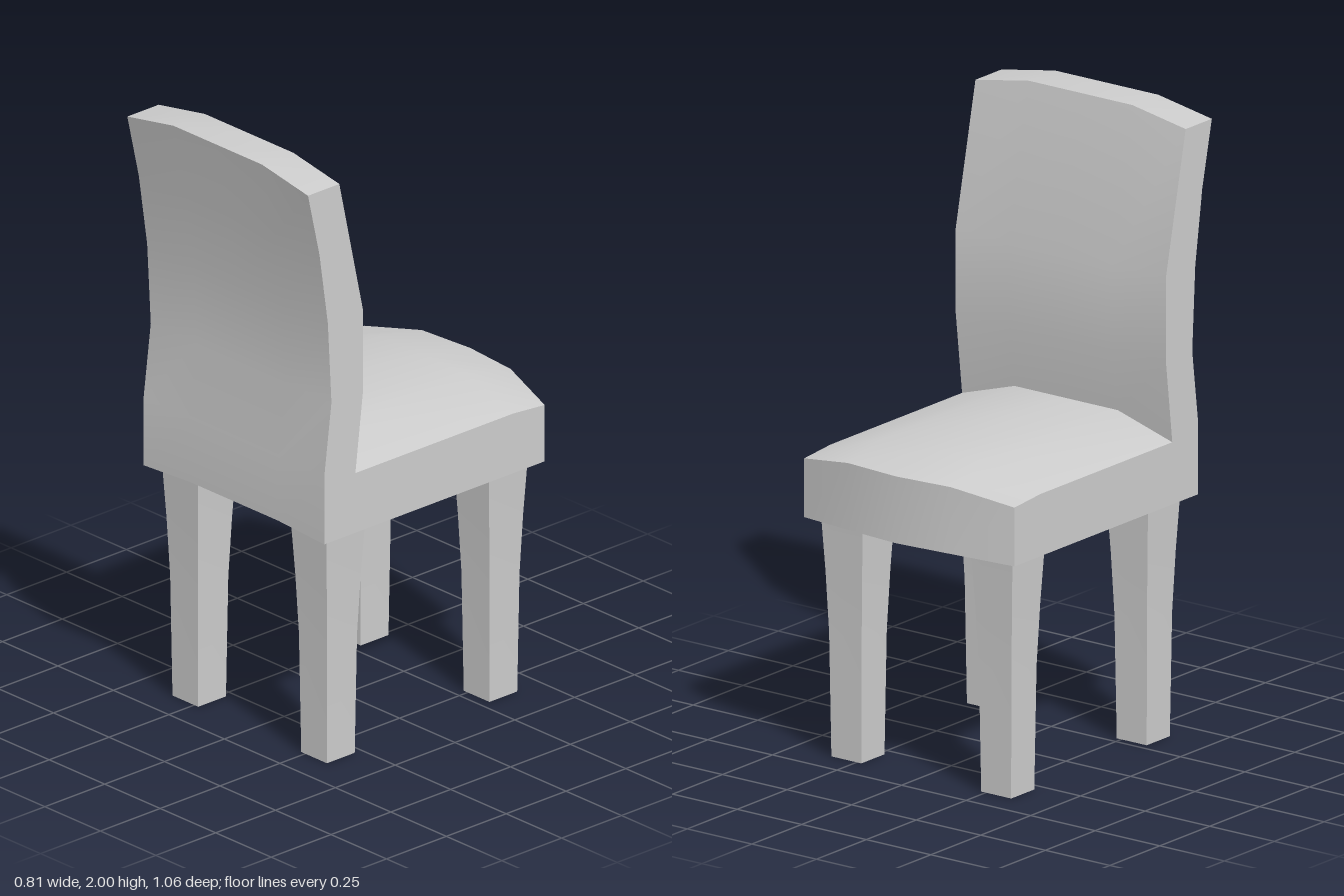
import * as THREE from 'three';
import { toCreasedNormals } from 'three/addons/utils/BufferGeometryUtils.js';

const material = new THREE.MeshStandardMaterial({ color: 0xcccccc });

// Skins a row of equal-length closed rings; caps are the triangles closing the first ring.
function loft(rings, caps) {
  const n = rings[0].length;
  const index = [];
  for (let i = 0; i < rings.length - 1; i++) {
    for (let j = 0; j < n; j++) {
      const k = (j + 1) % n;
      const a = i * n + j, b = a + n, c = (i + 1) * n + k, d = i * n + k;
      index.push(a, b, c, a, c, d);
    }
  }
  const last = (rings.length - 1) * n;
  for (const [a, b, c] of caps) {
    index.push(a, b, c, last + a, last + c, last + b);
  }
  const geometry = new THREE.BufferGeometry();
  geometry.setAttribute('position', new THREE.Float32BufferAttribute(rings.flat(2), 3));
  geometry.setIndex(index);
  return toCreasedNormals(geometry, 0.6);
}

// Seat and backrest share one L-shaped side profile, crowned towards the middle.
function createUpholstery() {
  const columns = [-0.407, -0.2, 0, 0.2, 0.407];
  const profile = (x) => {
    const side = Math.abs(x) > 0.3;
    const front = side ? -0.461 : x === 0 ? -0.528 : -0.511;
    const bottom = side ? 0.773 : 0.785;
    const seat = side ? 0.973 : 1.037;
    const top = side ? 1.963 : 2;
    return [
      [0.46, bottom], [0.46, 1.0], [0.43, 1.24], [0.445, 1.51], [0.48, 1.75], [0.528, top],
      [0.397, top], [0.298, 1.51], [0.298, 1.24], [side ? 0.33 : 0.325, seat],
      [-0.33, seat], [front, side ? 0.962 : 1.0], [front, bottom],
    ];
  };
  const rings = columns.map((x) => profile(x).map(([z, y]) => [x, y, z]));
  const outline = profile(columns[0]).map(([z, y]) => new THREE.Vector2(z, y));
  return loft(rings, THREE.ShapeUtils.triangulateShape(outline, []));
}

// Square leg, gently flaring towards the seat.
function createLeg() {
  const levels = [[0.785, 0.081], [0.6, 0.071], [0.4, 0.063], [0, 0.058]];
  const rings = levels.map(([y, r]) => [[-r, y, -r], [-r, y, r], [r, y, r], [r, y, -r]]);
  return loft(rings, [[0, 1, 2], [0, 2, 3]]);
}

export function createModel() {
  const chair = new THREE.Group();
  chair.name = 'chair';

  const body = new THREE.Mesh(createUpholstery(), material);
  body.name = 'seatAndBackrest';
  chair.add(body);

  const leg = createLeg();
  for (const [end, z] of [['back', 0.336], ['front', -0.343]]) {
    for (const [side, x] of [['Left', 0.29], ['Right', -0.29]]) {
      const mesh = new THREE.Mesh(leg, material);
      mesh.name = `${end}${side}Leg`;
      mesh.position.set(x, 0, z);
      chair.add(mesh);
    }
  }
  return chair;
}
